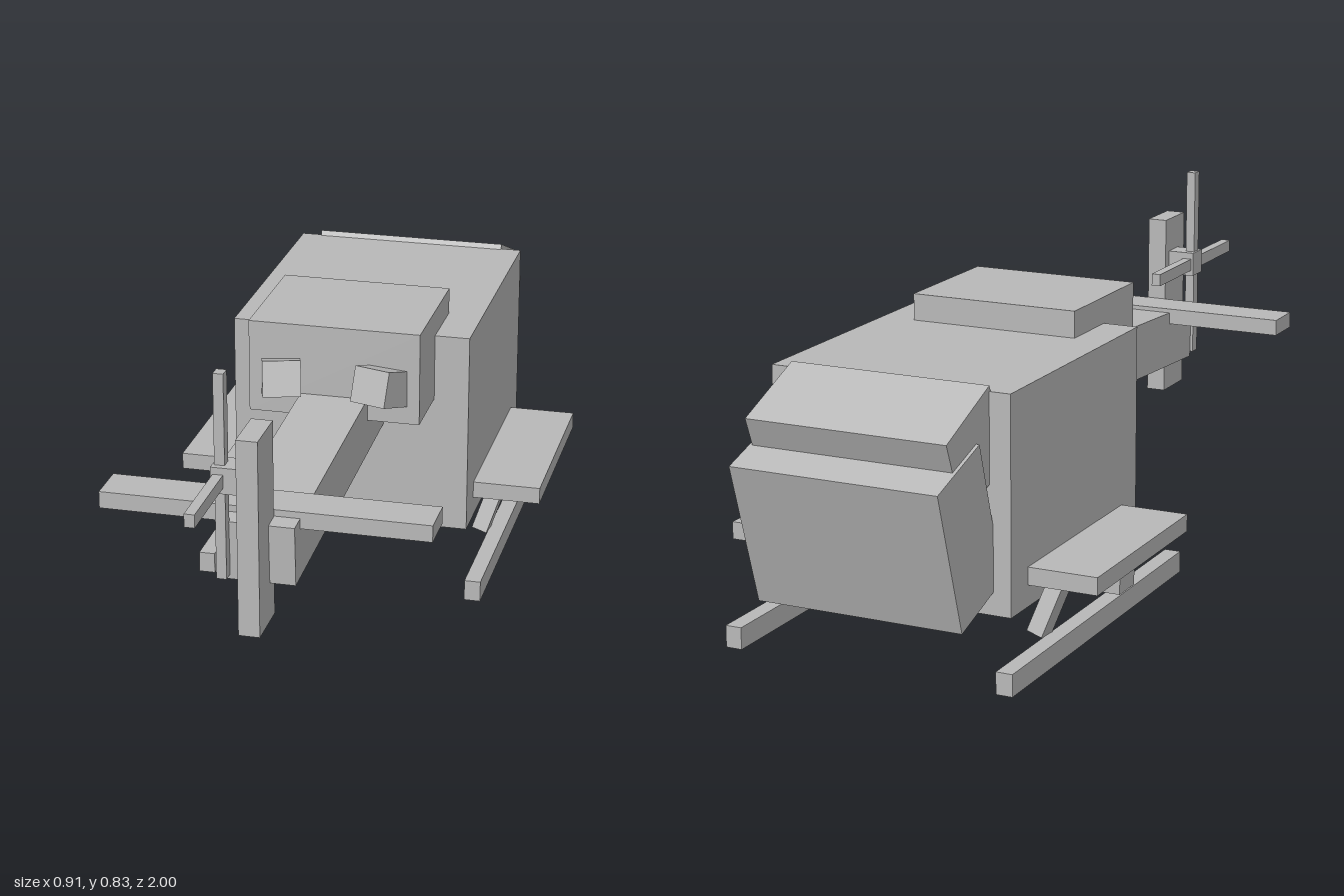
import * as THREE from 'three';

export function createModel() {
  const model = new THREE.Group();
  model.name = 'helicopter';
  const grey = new THREE.MeshStandardMaterial({ color: 0xb8b8b8 });
  grey.name = 'plain grey';

  // Box from its centre, size and rotation
  function box(name, size, pos, rot = [0, 0, 0]) {
    const mesh = new THREE.Mesh(new THREE.BoxGeometry(...size), grey);
    mesh.name = name;
    mesh.position.set(...pos);
    mesh.rotation.set(...rot);
    model.add(mesh);
    return mesh;
  }

  // Box from its lower and upper limits on each axis
  function span(name, [x0, x1], [y0, y1], [z0, z1]) {
    return box(name, [x1 - x0, y1 - y0, z1 - z0], [(x0 + x1) / 2, (y0 + y1) / 2, (z0 + z1) / 2]);
  }

  // Cabin and engine housing
  span('cabin', [-0.29, 0.29], [0.127, 0.624], [-0.745, -0.083]);
  span('engineHousing', [-0.206, 0.206], [0.462, 0.687], [-0.245, 0.085]);

  // Nose: sloping windscreen block above a tilted lower block
  box('windscreen', [0.48, 0.2, 0.213], [0, 0.504, -0.805], [-0.385, 0, 0]);
  box('lowerNose', [0.496, 0.348, 0.2], [0, 0.329, -0.85], [-0.305, 0, 0]);

  // Tail, sloping slightly down towards its end
  box('tailBoom', [0.162, 0.139, 0.96], [0, 0.436, 0.27], [0.05, 0, 0]);
  span('tailFin', [-0.025, 0.023], [0.252, 0.707], [0.708, 0.83]);
  span('tailplane', [-0.373, 0.372], [0.46, 0.499], [0.605, 0.706]);

  // Tail rotor
  span('tailRotorHub', [-0.093, -0.02], [0.562, 0.622], [0.73, 0.79]);
  span('tailRotorBladeVertical', [-0.088, -0.065], [0.355, 0.83], [0.748, 0.776]);
  span('tailRotorBladeHorizontal', [-0.088, -0.065], [0.576, 0.606], [0.525, 0.998]);

  for (const s of [1, -1]) {
    const side = s > 0 ? 'left' : 'right';
    const xs = (a, b) => (s > 0 ? [a, b] : [-b, -a]);

    // Exhaust, turned inwards and upwards
    const exhaust = box(side + 'Exhaust', [0.09, 0.085, 0.16], [s * 0.127, 0.556, 0.092]);
    exhaust.rotation.set(-0.3, -0.29 * s, 0, 'YXZ');

    // Side platform with its bracket
    span(side + 'Platform', xs(0.28, 0.455), [0.177, 0.218], [-0.663, -0.165]);
    span(side + 'Bracket', xs(0.28, 0.413), [0.106, 0.178], [-0.45, -0.37]);

    // Landing skid and its two splayed struts
    span(side + 'Skid', xs(0.313, 0.352), [0, 0.051], [-0.866, 0.044]);
    for (const [end, z, tilt] of [['Front', -0.272, -0.27], ['Rear', -0.602, 0.27]]) {
      box(side + end + 'Strut', [0.039, 0.115, 0.046], [s * 0.31, 0.104, z], [tilt, 0, -0.3 * s]);
    }
  }
  return model;
}
